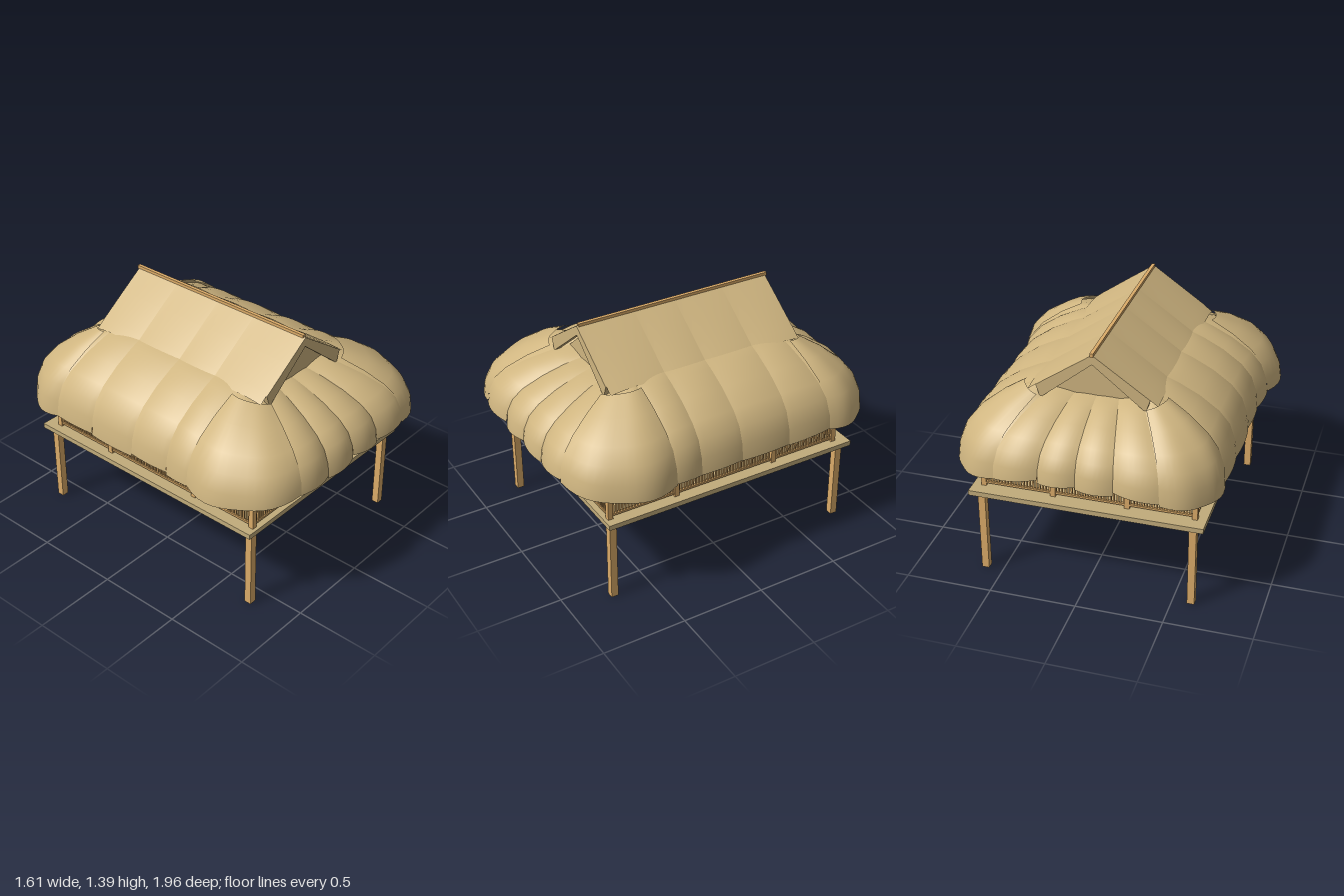
import * as THREE from 'three';
import { mergeGeometries } from 'three/addons/utils/BufferGeometryUtils.js';

export function createModel() {
  const model = new THREE.Group();
  const mat = (name, color, side = THREE.FrontSide) => {
    const m = new THREE.MeshStandardMaterial({ color, side });
    m.name = name;
    return m;
  };
  const wood = mat('warm wood', 0xdcac69);
  const deckTan = mat('deck tan', 0xc2ac7b);
  const thatch = mat('thatch', 0xcfb580, THREE.DoubleSide);

  const add = (name, geometry, material) => {
    const mesh = new THREE.Mesh(geometry, material);
    mesh.name = name;
    model.add(mesh);
    return mesh;
  };
  // Box given by its lower and upper corners
  const box = (x0, y0, z0, x1, y1, z1) =>
    new THREE.BoxGeometry(x1 - x0, y1 - y0, z1 - z0).translate((x0 + x1) / 2, (y0 + y1) / 2, (z0 + z1) / 2);
  const post = (x, z, y0, y1, w = 0.04) => box(x - w / 2, y0, z - w / 2, x + w / 2, y1, z + w / 2);

  // Smooth grid surface: fn(s, t) gives [x, y, z]
  const surface = (fn, ns, rows) => {
    const pos = [], index = [], nt = rows.length;
    for (let i = 0; i <= ns; i++) for (let j = 0; j < nt; j++) pos.push(...fn(i / ns, rows[j]));
    for (let i = 0; i < ns; i++) for (let j = 0; j < nt - 1; j++) {
      const a = i * nt + j, b = a + nt;
      index.push(a, a + 1, b, b, a + 1, b + 1);
    }
    const g = new THREE.BufferGeometry();
    g.setAttribute('position', new THREE.Float32BufferAttribute(pos, 3));
    g.setIndex(index);
    g.computeVertexNormals();
    return g;
  };
  let seed = 7;
  const rand = () => (seed = (seed * 16807) % 2147483647) / 2147483647;
  const lerp = THREE.MathUtils.lerp;

  // Raised platform, its legs and the posts of the veranda
  const PX = 0.605, ZF = 0.725, ZB = -0.78;
  add('platform', box(-0.67, 0.5, -0.83, 0.67, 0.53, 0.77), deckTan);
  const legs = [], posts = [];
  for (const x of [-PX, PX]) {
    for (const z of [ZF, ZB]) legs.push(post(x, z, 0, 0.5, 0.042));
    for (const z of [ZF + 0.01, 0.32, -0.32, ZB + 0.04]) posts.push(post(x, z, 0.53, 0.94, 0.03));
  }
  for (const x of [-0.225, 0.2]) posts.push(post(x, ZB + 0.04, 0.53, 0.94, 0.03));
  add('legs', mergeGeometries(legs), wood);
  add('verandaPosts', mergeGeometries(posts), wood);

  // Beams under the eaves
  add('eaveBeams', mergeGeometries([
    ...[-PX, PX].map(x => box(x - 0.012, 0.86, -0.74, x + 0.012, 0.89, 0.735)),
    ...[-0.74, 0.735].map(z => box(-PX, 0.86, z - 0.012, PX, 0.89, z + 0.012)),
  ]), wood);

  // Cabin walls with studs and a doorway in the front
  add('cabinWalls', mergeGeometries([
    box(-0.495, 0.53, -0.605, -0.475, 1.0, 0.485), box(0.475, 0.53, -0.605, 0.495, 1.0, 0.485),
    box(-0.475, 0.53, -0.605, 0.475, 1.0, -0.585),
    box(-0.475, 0.53, 0.465, -0.2, 1.0, 0.485), box(0.2, 0.53, 0.465, 0.475, 1.0, 0.485),
  ]), wood);
  const studs = [];
  for (const x of [-0.489, 0.489]) for (const z of [0.478, 0.2, -0.07, -0.33, -0.598]) studs.push(post(x, z, 0.53, 1.0, 0.022));
  for (const x of [-0.3, -0.1, 0.1, 0.3]) studs.push(post(x, -0.6, 0.53, 1.0, 0.022));
  for (const x of [-0.21, 0.203]) studs.push(post(x, 0.48, 0.53, 1.0, 0.026));
  add('wallStuds', mergeGeometries(studs), wood);
  add('leftDoorPanel', box(0, 0.53, 0.465, 0.2, 1.0, 0.475), deckTan);
  add('rightDoorPanel', box(-0.2, 0.53, 0.455, 0.005, 1.0, 0.465), wood);

  // Railings along the edge of the veranda
  const railing = (name, x0, z0, x1, z1) => {
    const length = Math.hypot(x1 - x0, z1 - z0), n = Math.round(length / 0.0185), parts = [];
    for (const [y, h] of [[0.55, 0.012], [0.636, 0.01]])
      parts.push(new THREE.BoxGeometry(length, h, 0.018).translate(0, y, 0));
    for (let i = 0; i < n; i++)
      parts.push(new THREE.BoxGeometry(0.009, 0.08, 0.009).translate(((i + 0.5) / n - 0.5) * length, 0.593, 0));
    const g = mergeGeometries(parts);
    g.rotateY(-Math.atan2(z1 - z0, x1 - x0)).translate((x0 + x1) / 2, 0, (z0 + z1) / 2);
    add(name, g, wood);
  };
  railing('leftRailing', PX, 0.72, PX, -0.73);
  railing('rightRailing', -PX, 0.72, -PX, -0.73);
  railing('backRailing', -PX, -0.74, PX, -0.74);
  railing('frontLeftRailing', 0.22, 0.735, PX, 0.735);
  railing('frontRightRailing', -PX, 0.735, -0.22, 0.735);
  add('newelPosts', mergeGeometries([-0.225, 0.225].map(x => post(x, 0.735, 0.53, 0.645, 0.022))), wood);

  // Lower thatch: joints from the front centre round to the back centre
  // [inner x, y, z, outer x, y, z, bulge of the panel that follows]
  const half = [
    [0, 1.1, 0.46, 0, 0.77, 0.94, 0.025],
    [0.12, 1.1, 0.46, 0.22, 0.765, 0.94, 0.025],
    [0.24, 1.12, 0.46, 0.46, 0.775, 0.945, 0.155],
    [0.25, 1.16, 0.42, 0.76, 0.735, 0.4, 0.01],
    [0.25, 1.17, 0.23, 0.735, 0.73, 0.23, 0.012],
    [0.25, 1.17, -0.03, 0.735, 0.73, -0.03, 0.012],
    [0.25, 1.17, -0.34, 0.735, 0.73, -0.34, 0.012],
    [0.25, 1.16, -0.53, 0.735, 0.73, -0.62, 0.105],
    [0.24, 1.12, -0.54, 0.46, 0.75, -0.965, 0.03],
    [0.12, 1.1, -0.54, 0.21, 0.765, -0.965, 0.03],
    [0, 1.1, -0.54, 0, 0.77, -0.965, 0],
  ];
  const mirrored = half.slice(0, -1).map((p, i) => {
    const q = half[i + 1];
    return [-q[0], q[1], q[2], -q[3], q[4], q[5], p[6]];
  }).reverse();
  const joints = [...half.slice(0, -1), ...mirrored, half[0]];
  // Run outward against drop: gentle at the top, steep at the rim
  const rows = [[0, 0], [0.15, 0.045], [0.3, 0.11], [0.55, 0.25], [0.78, 0.43], [0.91, 0.6], [0.98, 0.82], [1, 1]];
  const lower = [], corners = [];
  for (let k = 0; k < joints.length - 1; k++) {
    const a = joints[k], b = joints[k + 1], bulge = a[6], corner = bulge > 0.06;
    const dx = b[3] - a[3], dz = b[5] - a[5], d = Math.hypot(dx, dz);
    const sag = [rand() * 0.03, rand() * 0.03];
    const panel = lift => (s, [h, v]) => {
      const arc = 1 - Math.abs(2 * s - 1) ** (corner ? 3 : 2), out = arc * bulge * h;
      const tip = v === 1 ? lerp(sag[0], sag[1], s) : 0;
      const y = lerp(lerp(a[1], b[1], s), lerp(a[4], b[4], s) - (corner ? 0.02 * arc : 0), v);
      return [
        lerp(lerp(a[0], b[0], s), lerp(a[3], b[3], s), h) - (dz / d) * out,
        y + arc * 0.014 * Math.sin(Math.PI * Math.min(h, 0.9)) - tip + lift * (1.1 - h),
        lerp(lerp(a[2], b[2], s), lerp(a[5], b[5], s), h) + (dx / d) * out,
      ];
    };
    lower.push(surface(panel(0), corner ? 14 : 8, rows));
    // An extra fan of thatch lies over each corner
    if (corner) corners.push(surface(panel(0.04), 14, rows.slice(2)));
  }
  add('lowerThatch', mergeGeometries(lower), thatch);
  add('cornerThatch', mergeGeometries(corners), thatch);

  // Upper gable thatch, in strips from the ridge to the eaves
  const slope = [[0, 1.378], [0.15, 1.275], [0.31, 1.163], [0.365, 1.122]];
  const cuts = [0.58, 0.23, -0.03, -0.34, -0.64];
  const upper = [];
  for (const side of [1, -1]) for (let k = 0; k < 4; k++)
    upper.push(surface((s, [x, y]) => [
      side * x, y + 0.035 * x * 4 * s * (1 - s), lerp(cuts[k], cuts[k + 1], side > 0 ? s : 1 - s),
    ], 8, slope));
  add('upperThatch', mergeGeometries(upper), thatch);

  // Thick thatch edges and recessed walls at both gable ends
  const polygon = pts => new THREE.Shape(pts.map(p => new THREE.Vector2(...p)));
  const chevron = polygon([[0, 1.376], [-0.32, 1.155], [-0.295, 1.08], [0, 1.32], [0.295, 1.08], [0.32, 1.155]]);
  const triangle = polygon([[-0.3, 1.08], [0.3, 1.08], [0, 1.34]]);
  const ends = [[0.555, 0.5], [-0.64, -0.56]];
  for (const [edge, wall] of ends) {
    const name = edge > 0 ? 'front' : 'back';
    add(name + 'GableEdge', new THREE.ExtrudeGeometry(chevron, { depth: 0.03, bevelEnabled: false }).translate(0, 0, edge), thatch);
    add(name + 'GableWall', new THREE.ShapeGeometry(triangle).translate(0, 0, wall), thatch);
  }
  add('ridgeBeam', box(-0.01, 1.367, -0.65, 0.01, 1.389, 0.575), wood);

  return model;
}
